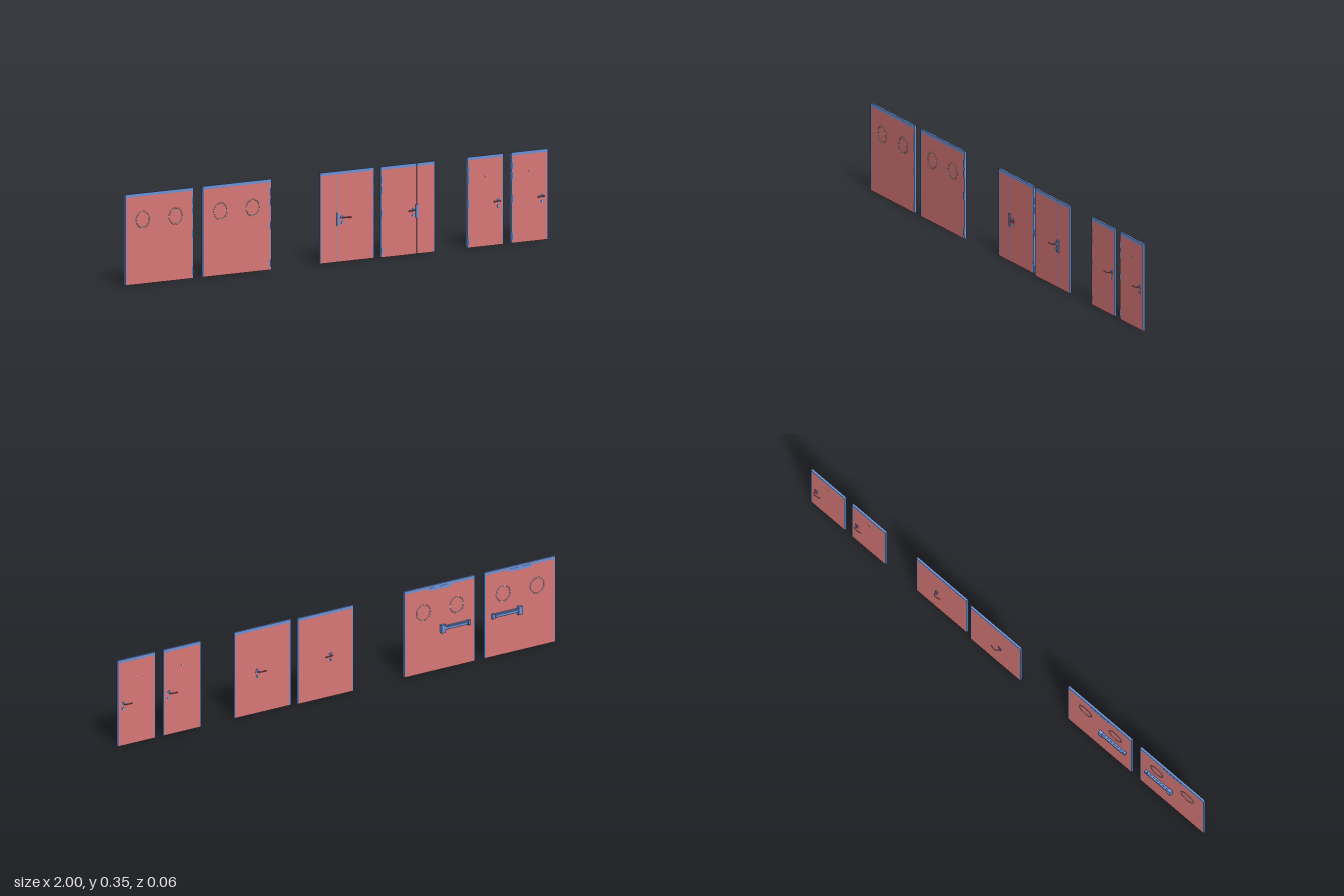
import * as THREE from 'three';

const red = new THREE.MeshStandardMaterial({ color: 0xd97777 });
const blue = new THREE.MeshStandardMaterial({ color: 0x6f94d8 });
const grey = new THREE.MeshStandardMaterial({ color: 0xcccccc });
const H = 0.348, T = 0.0085, HANDLE_Y = 0.17;

function add(parent, name, geometry, material, x = 0, y = 0, z = 0) {
  const mesh = new THREE.Mesh(geometry, material);
  mesh.name = name;
  mesh.position.set(x, y, z);
  parent.add(mesh);
  return mesh;
}
const box = (w, h, d) => new THREE.BoxGeometry(w, h, d);
const disc = (r, d) => new THREE.CylinderGeometry(r, r, d, 20).rotateX(Math.PI / 2);

// Slab with an edging on the top and both sides; local z = 0 is mid-thickness
function doorLeaf(name, x0, x1, z) {
  const door = new THREE.Group(), w = x1 - x0, e = 0.005, top = 0.012;
  door.name = name;
  door.position.set((x0 + x1) / 2, 0, z);
  add(door, 'panel', box(w - 2 * e, H - top, T), red, 0, (H - top) / 2);
  add(door, 'topEdge', box(w, top, T), blue, 0, H - top / 2);
  for (const s of [-1, 1])
    add(door, 'sideEdge', box(e, H - top, T), blue, s * (w - e) / 2, (H - top) / 2);
  // Thin seams where the face meets the edge of the slab
  return door;
}

// Four hinges, each with a knuckle and a leaf plate
function hinges(door, w, side) {
  for (const y of [0.026, 0.17, 0.26, 0.298]) {
    add(door, 'hingeKnuckle', new THREE.CylinderGeometry(0.0018, 0.0018, 0.028, 10),
      blue, side * (w / 2 - 0.002), y, T / 2);
    add(door, 'hingeLeaf', box(0.007, 0.026, 0.001), blue, side * (w / 2 - 0.005), y, T / 2);
  }
}

// Lever handles on both faces; dir is the way the lever points in x
function handles(door, x, dir) {
  for (const s of [-1, 1]) {
    const set = new THREE.Group(), z = s * T / 2;
    set.name = 'handleSet';
    set.position.x = x;
    door.add(set);
    add(set, 'rosette', disc(0.008, 0.003), blue, 0, HANDLE_Y, z);
    add(set, 'keyRosette', disc(0.006, 0.003), blue, 0, HANDLE_Y - 0.021, z);
    add(set, 'keyCylinder', box(0.002, 0.007, 0.005), grey, 0, HANDLE_Y - 0.021, z);
    const path = new THREE.CatmullRomCurve3([
      [0, 0, 0], [0, 0, 0.012], [dir * 0.005, 0.0005, 0.0165],
      [dir * 0.018, 0.0005, 0.017], [dir * 0.03, -0.001, 0.014]
    ].map(([a, b, c]) => new THREE.Vector3(a, b, s * c)));
    add(set, 'lever', new THREE.TubeGeometry(path, 20, 0.0024, 8), red, 0, HANDLE_Y, z);
    add(set, 'leverTip', new THREE.SphereGeometry(0.0024, 8, 6), red,
      dir * 0.03, HANDLE_Y - 0.001, z + s * 0.014);
  }
}

export function createModel() {
  const model = new THREE.Group();
  model.name = 'doorSet';

  // Wide doors with round windows and push bars
  const wide = [
    { x0: -1, x1: -0.677, rings: [-0.917, -0.762], bar: [-0.708, -0.842] },
    { x0: -0.633, x1: -0.31, rings: [-0.55, -0.398], bar: [-0.607, -0.473] }
  ];
  for (const { x0, x1, rings, bar } of wide) {
    const door = doorLeaf('portholeDoor', x0, x1, T / 2), c = (x0 + x1) / 2;
    hinges(door, x1 - x0, 1);
    for (const x of rings)
      for (const s of [-1, 1])
        add(door, 'portholeRing', new THREE.TorusGeometry(0.031, 0.0016, 8, 40), grey,
          x - c, 0.246, s * T / 2);
    const mid = (bar[0] + bar[1]) / 2 - c, len = Math.abs(bar[1] - bar[0]), back = -T / 2;
    add(door, 'pushBarRail', box(len, 0.016, 0.006), blue, mid, 0.165, back - 0.003);
    add(door, 'pushBar', box(len * 0.8, 0.01, 0.006), blue, mid, 0.165, back - 0.009);
    add(door, 'pushBarCase', box(0.018, 0.032, 0.013), blue,
      bar[1] - c - Math.sign(bar[1] - bar[0]) * 0.009, 0.165, back - 0.0065);
    add(door, 'pushBarEnd', box(0.01, 0.02, 0.011), blue,
      bar[0] - c + Math.sign(bar[1] - bar[0]) * 0.005, 0.165, back - 0.0055);
    add(door, 'topPlate', box(0.1, 0.012, 0.0015), blue, (rings[0] + rings[1]) / 2 - c, 0.333, back);
    model.add(door);
  }

  // Medium doors with a full-height rod and latch on the front
  const medium = [
    { x0: -0.073, x1: 0.182, z: -T / 2, rod: 0.01, handle: 0.032, dir: 1, hinge: 1 },
    { x0: 0.208, x1: 0.465, z: T / 2, rod: 0.378, handle: 0.362, dir: -1, hinge: -1 }
  ];
  for (const { x0, x1, z, rod, handle, dir, hinge } of medium) {
    const door = doorLeaf('rodDoor', x0, x1, z), c = (x0 + x1) / 2;
    hinges(door, x1 - x0, hinge);
    handles(door, handle - c, dir);
    add(door, 'lockRod', box(0.002, H - 0.004, 0.0016), blue, rod - c, H / 2, T / 2);
    add(door, 'latchCase', box(0.012, 0.05, 0.004), blue, rod - c, 0.165, T / 2 + 0.001);
    model.add(door);
  }

  // Narrow doors with a peephole
  const narrow = [
    { x0: 0.62, x1: 0.791, handle: 0.766 },
    { x0: 0.828, x1: 1, handle: 0.974 }
  ];
  for (const { x0, x1, handle } of narrow) {
    const door = doorLeaf('peepholeDoor', x0, x1, T / 2 - 0.003), c = (x0 + x1) / 2;
    hinges(door, x1 - x0, -1);
    handles(door, handle - c, -1);
    add(door, 'peephole', disc(0.003, T + 0.002), grey, 0, 0.27, 0);
    model.add(door);
  }
  return model;
}
